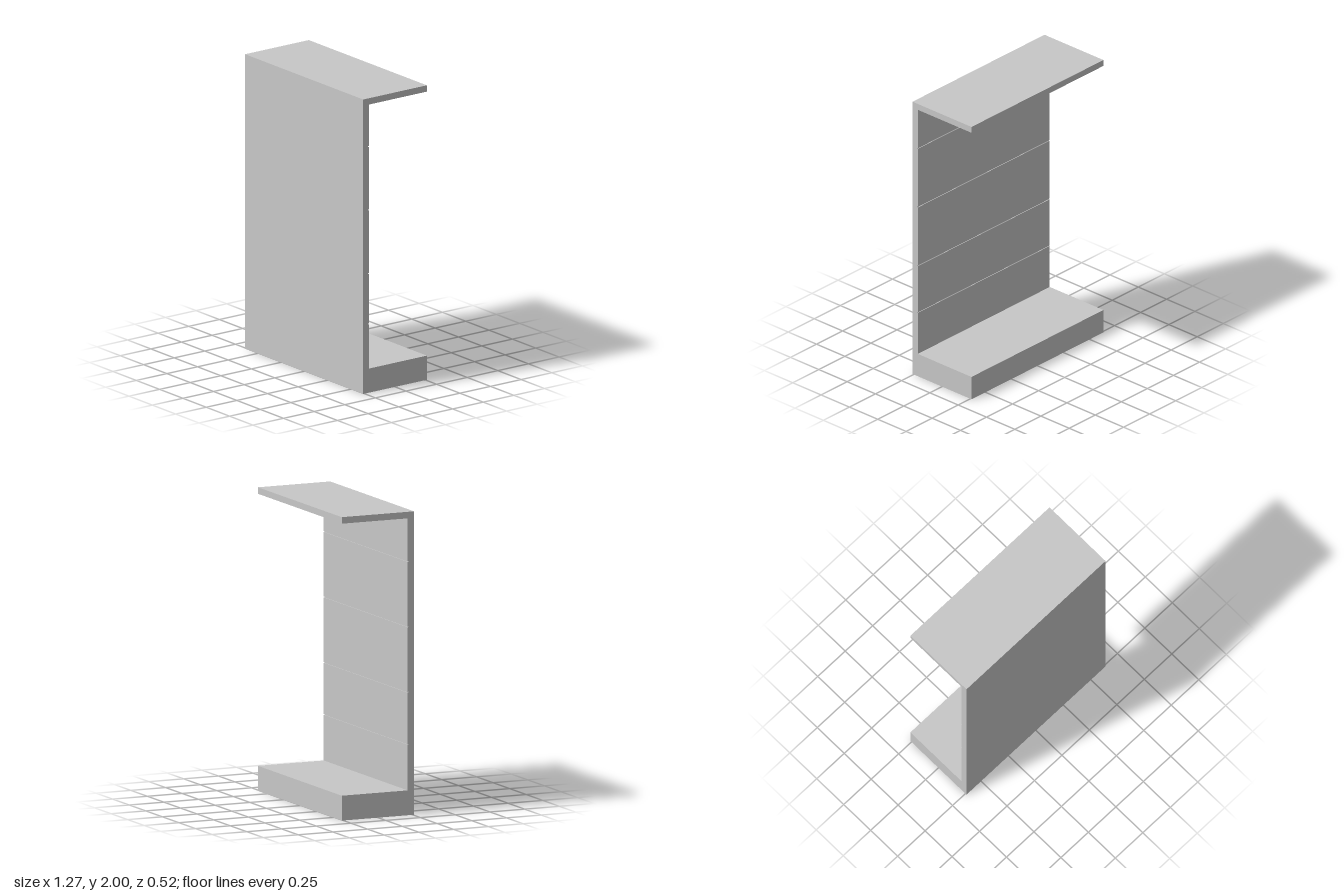
import * as THREE from 'three';

export function createModel() {
  const group = new THREE.Group();
  const grey = new THREE.MeshStandardMaterial({ name: 'light grey', color: 0xc8c8c8 });

  const W = 1.266, FRONT = 0.26, BACK = -0.26;
  const WALL_BACK = 0.219, PANEL_BACK = 0.214;
  const BASE_TOP = 0.164, TOP_UNDERSIDE = 1.957;

  // Full-width slab between two heights and two depths
  function slab(name, y0, y1, z0, z1) {
    const mesh = new THREE.Mesh(new THREE.BoxGeometry(W, y1 - y0, z1 - z0), grey);
    mesh.name = name;
    mesh.position.set(0, (y0 + y1) / 2, (z0 + z1) / 2);
    group.add(mesh);
  }

  // C-shaped frame: plinth, upright wall and canopy
  slab('base', 0, BASE_TOP, BACK, WALL_BACK);
  slab('wall', 0, 2, WALL_BACK, FRONT);
  slab('canopy', TOP_UNDERSIDE, 2, BACK, WALL_BACK);

  // Thin panels on the inside of the wall, separated by narrow seams
  const seams = [BASE_TOP, 0.468, 0.811, 1.242, 1.673, TOP_UNDERSIDE];
  const gap = 0.003;
  for (let i = 0; i < seams.length - 1; i++) {
    const y0 = seams[i] + (i > 0 ? gap : 0);
    const y1 = seams[i + 1] - (i < seams.length - 2 ? gap : 0);
    slab('wallPanel' + (i + 1), y0, y1, PANEL_BACK, WALL_BACK);
  }

  return group;
}
